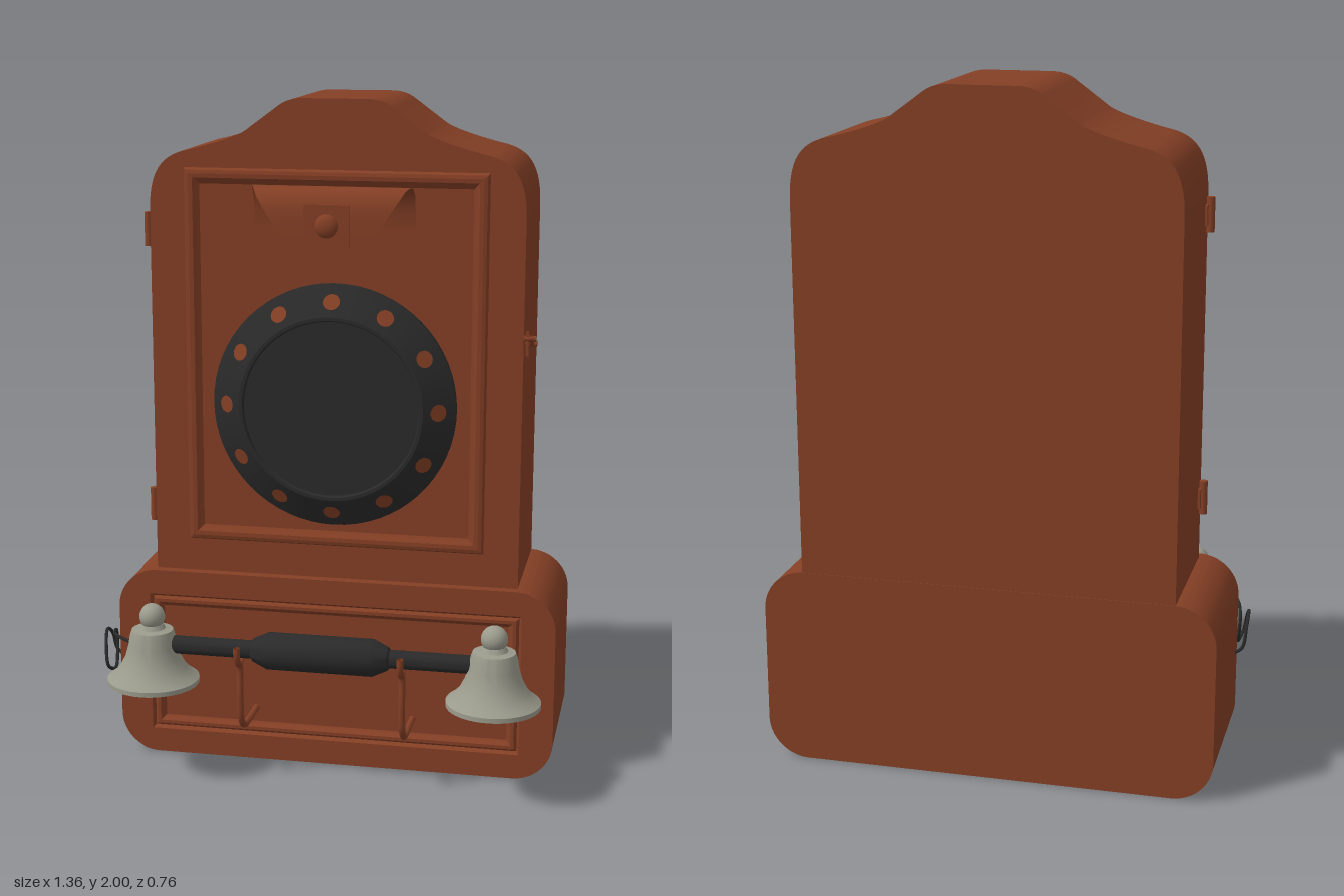
import * as THREE from 'three';
import { toCreasedNormals } from 'three/addons/utils/BufferGeometryUtils.js';

const CX = 0.015; // cabinet centre line
const V3 = (x, y, z) => new THREE.Vector3(x, y, z);

export function createModel() {
  const root = new THREE.Group();
  root.name = 'wallTelephone';
  const material = (name, color) => {
    const m = new THREE.MeshStandardMaterial({ color, side: THREE.DoubleSide });
    m.name = name;
    return m;
  };
  const wood = material('redBrownWood', 0x843f25);
  const black = material('blackEnamel', 0x2a2a2a);
  const metal = material('paleMetal', 0x9a9a8c);

  const add = (name, geo, mat, x = 0, y = 0, z = 0, parent = root) => {
    const m = new THREE.Mesh(geo, mat);
    m.name = name;
    m.position.set(x, y, z);
    parent.add(m);
    return m;
  };
  const extrude = (shape, depth) => toCreasedNormals(
    new THREE.ExtrudeGeometry(shape, { depth, bevelEnabled: false, curveSegments: 14 }), 0.5);
  const lathe = (pts, seg = 48) => toCreasedNormals(
    new THREE.LatheGeometry(pts.map(p => new THREE.Vector2(p[0], p[1])), seg), 0.5);
  const tube = (pts, r, seg = 40) => new THREE.TubeGeometry(
    new THREE.CatmullRomCurve3(pts.map(p => V3(...p))), seg, r, 8);

  // Rectangular moulding swept from a profile of [inset, z] points
  const frame = (w, h, profile) => {
    const corners = [[-1, -1], [1, -1], [1, 1], [-1, 1]];
    const at = (c, [inset, z]) => [c[0] * (w / 2 - inset), c[1] * (h / 2 - inset), z];
    const pos = [];
    for (let i = 0; i < 4; i++) for (let j = 0; j < profile.length - 1; j++) {
      const c = corners[i], d = corners[(i + 1) % 4];
      const a = at(c, profile[j]), b = at(d, profile[j]);
      const e = at(d, profile[j + 1]), f = at(c, profile[j + 1]);
      pos.push(...a, ...b, ...e, ...a, ...e, ...f);
    }
    const g = new THREE.BufferGeometry();
    g.setAttribute('position', new THREE.Float32BufferAttribute(pos, 3));
    g.computeVertexNormals();
    return g;
  };

  // Lower cabinet with rounded corners and a moulded front panel
  const lowerShape = () => {
    const w = 0.665, h = 0.585, r = 0.12, s = new THREE.Shape();
    s.moveTo(-w + r, 0);
    s.lineTo(w - r, 0);
    s.absarc(w - r, r, r, -Math.PI / 2, 0);
    s.lineTo(w, h - r);
    s.absarc(w - r, h - r, r, 0, Math.PI / 2);
    s.lineTo(-w + r, h);
    s.absarc(-w + r, h - r, r, Math.PI / 2, Math.PI);
    s.lineTo(-w, r);
    s.absarc(-w + r, r, r, Math.PI, Math.PI * 1.5);
    return s;
  };
  add('lowerCabinet', extrude(lowerShape(), 0.425), wood, CX, 0, -0.383);
  const face = lowerShape();
  face.holes.push(new THREE.Path([[-0.565, 0.075], [-0.565, 0.51], [0.565, 0.51], [0.565, 0.075]]
    .map(p => new THREE.Vector2(...p))));
  add('lowerFrontFace', extrude(face, 0.018), wood, CX, 0, 0.042);
  add('lowerMoulding', frame(1.13, 0.435,
    [[0, 0.06], [0.008, 0.048], [0.016, 0.057], [0.026, 0.057], [0.035, 0.046], [0.04, 0.042]]),
    wood, CX, 0.2925, 0);

  // Upper cabinet with a shaped crest
  const upper = new THREE.Shape();
  upper.moveTo(-0.548, 0.56);
  upper.lineTo(0.548, 0.56);
  upper.lineTo(0.548, 1.67);
  upper.bezierCurveTo(0.548, 1.79, 0.51, 1.835, 0.43, 1.85);
  upper.quadraticCurveTo(0.31, 1.88, 0.265, 1.905);
  upper.lineTo(0.17, 1.975);
  upper.quadraticCurveTo(0.14, 2, 0.095, 2);
  upper.lineTo(-0.095, 2);
  upper.quadraticCurveTo(-0.14, 2, -0.17, 1.975);
  upper.lineTo(-0.265, 1.905);
  upper.quadraticCurveTo(-0.31, 1.88, -0.43, 1.85);
  upper.bezierCurveTo(-0.51, 1.835, -0.548, 1.79, -0.548, 1.67);
  add('upperCabinet', extrude(upper, 0.409), wood, CX, 0, -0.381);
  add('upperMoulding', frame(0.89, 1.115,
    [[0, 0.028], [0.006, 0.04], [0.016, 0.043], [0.028, 0.042], [0.038, 0.034], [0.046, 0.028]]),
    wood, CX, 1.242, 0);

  // Dial: sloped rim, shallow recess and twelve finger spots
  const dial = new THREE.Group();
  dial.name = 'dial';
  dial.position.set(CX, 1.115, 0.028);
  root.add(dial);
  add('dialRim', lathe([[0.36, 0], [0.36, 0.016], [0.272, 0.073], [0.262, 0.073], [0.258, 0.064], [0, 0.064]], 64)
    .rotateX(Math.PI / 2), black, 0, 0, 0, dial);
  const tilt = Math.atan2(0.057, 0.088);
  for (let i = 0; i < 12; i++) {
    const spoke = new THREE.Group();
    spoke.name = 'fingerSpot';
    spoke.rotation.z = i * Math.PI / 6;
    dial.add(spoke);
    const spot = add('spotDisc', new THREE.CircleGeometry(0.025, 20), wood, 0.313, 0, 0.0495, spoke);
    spot.rotation.y = tilt;
  }

  // Curved bracket: a sheet swept over the top, rows of [y, z, half width]
  const rows = [[1.64, 0.034, 0.235], [1.69, 0.037, 0.235], [1.735, 0.05, 0.235], [1.755, 0.07, 0.233],
    [1.76, 0.09, 0.228], [1.752, 0.115, 0.218], [1.73, 0.134, 0.205], [1.7, 0.143, 0.185],
    [1.66, 0.146, 0.16], [1.62, 0.146, 0.137], [1.595, 0.146, 0.12], [1.58, 0.146, 0.09]];
  const bPos = [], bIdx = [];
  rows.forEach(([y, z, w], i) => {
    bPos.push(-w, y, z, w, y, z);
    if (i) { const k = 2 * i; bIdx.push(k - 2, k, k - 1, k - 1, k, k + 1); }
  });
  const bracket = new THREE.BufferGeometry();
  bracket.setAttribute('position', new THREE.Float32BufferAttribute(bPos, 3));
  bracket.setIndex(bIdx);
  bracket.computeVertexNormals();
  add('curvedBracket', bracket, wood, CX, 0, 0);
  add('bracketPlate', new THREE.BoxGeometry(0.13, 0.12, 0.008), wood, CX, 1.655, 0.15);
  add('bracketKnob', new THREE.SphereGeometry(0.034, 20, 14).scale(1, 1, 0.5), wood, CX, 1.655, 0.153);

  // Hinges on the model's right side
  for (const y of [1.615, 0.78]) {
    add('hingePin', new THREE.CylinderGeometry(0.012, 0.012, 0.1, 12), wood, -0.545, y, 0.005);
    add('hingeLeaf', new THREE.BoxGeometry(0.01, 0.06, 0.03), wood, -0.535, y, -0.01);
  }

  // Hook latch on the other side
  add('latchHook', tube([[0.583, 1.295, -0.075], [0.583, 1.32, -0.05], [0.583, 1.31, -0.02],
    [0.583, 1.325, 0.01], [0.583, 1.335, 0.022]], 0.007, 20), wood);
  for (const [y, z] of [[1.31, -0.02], [1.33, 0.012]])
    add('latchPin', new THREE.CylinderGeometry(0.009, 0.009, 0.04, 10).rotateZ(Math.PI / 2), wood, 0.577, y, z);
  add('latchTab', new THREE.BoxGeometry(0.008, 0.07, 0.012), wood, 0.572, 1.315, 0.012);

  // Handset: turned black bar with a pale bell at each end
  const bar = [[0, -0.49], [0.027, -0.49], [0.027, -0.205], [0.034, -0.2], [0.055, -0.155],
    [0.055, 0.155], [0.034, 0.2], [0.027, 0.205], [0.027, 0.49], [0, 0.49]];
  add('handsetBar', lathe(bar, 24).rotateZ(-Math.PI / 2), black, CX, 0.42, 0.243);
  const bell = [[0, 0.43], [0.055, 0.43], [0.065, 0.39], [0.088, 0.35], [0.125, 0.312], [0.13, 0.3],
    [0.137, 0.3], [0.137, 0.314], [0.12, 0.326], [0.1, 0.347], [0.083, 0.38], [0.073, 0.415],
    [0.068, 0.445], [0.062, 0.463], [0.04, 0.467], [0.033, 0.48], [0, 0.48]];
  for (const side of [-1, 1]) {
    const x = CX + side * 0.506;
    add('bell', lathe(bell), metal, x, 0, 0.243);
    add('bellKnob', new THREE.SphereGeometry(0.039, 24, 16), metal, x, 0.502, 0.243);

    // Cradle arm holding the bar
    add('cradleArm', tube([[0, 0.16, 0.04], [0, 0.16, 0.14], [0, 0.168, 0.205], [0, 0.2, 0.235],
      [0, 0.27, 0.245], [0, 0.37, 0.247], [0, 0.385, 0.27], [0, 0.41, 0.282], [0, 0.435, 0.283]], 0.01),
      wood, CX + side * 0.241);
    add('cradleRearProng', tube([[0, 0.37, 0.245], [0, 0.385, 0.22], [0, 0.41, 0.206], [0, 0.435, 0.205]], 0.009, 16),
      wood, CX + side * 0.241);
  }

  // Loose cord from the bell to the cabinet side
  add('cord', tube([[-0.54, 0.41, 0.243], [-0.59, 0.42, 0.225], [-0.635, 0.41, 0.16], [-0.655, 0.39, 0.08],
    [-0.652, 0.33, 0.085], [-0.645, 0.29, 0.13], [-0.655, 0.31, 0.17], [-0.668, 0.37, 0.145],
    [-0.678, 0.4, 0.1], [-0.679, 0.37, 0.045], [-0.67, 0.31, 0.025], [-0.64, 0.29, 0.022]], 0.005, 90), black);

  return root;
}
